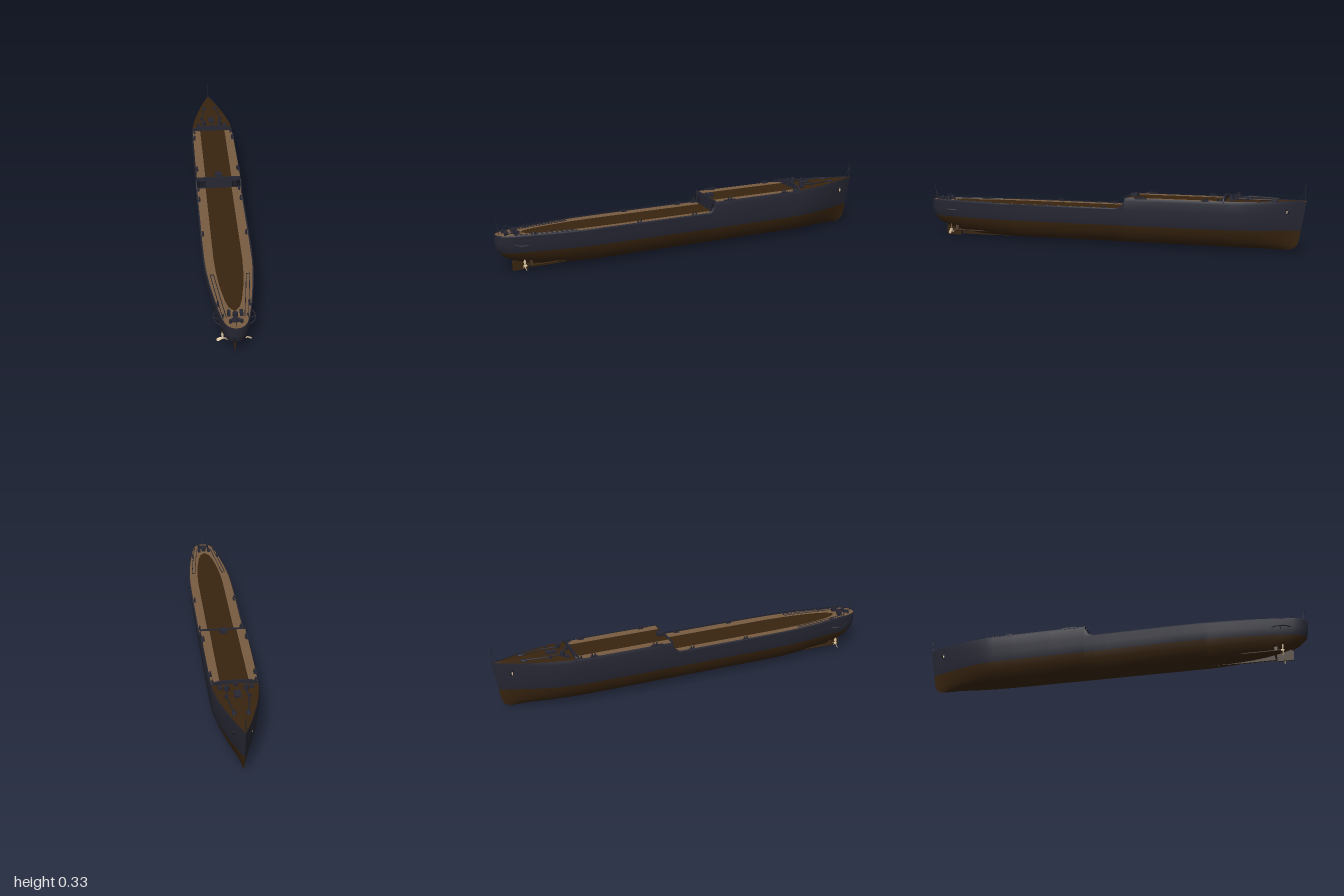
import * as THREE from 'three';

const mat = (name, color) => {
  const m = new THREE.MeshStandardMaterial({ color, side: THREE.DoubleSide });
  m.name = name;
  return m;
};

// Linear lookup in a table of [position, value] pairs
function lookup(table, z) {
  if (z <= table[0][0]) return table[0][1];
  for (let i = 1; i < table.length; i++) {
    const [z0, v0] = table[i - 1], [z1, v1] = table[i];
    if (z <= z1) return v0 + (v1 - v0) * (z - z0) / (z1 - z0);
  }
  return table[table.length - 1][1];
}

// Plan outline of the deck, as a fraction of the greatest beam
const plan = [[-1, 0], [-0.97, 0.12], [-0.93, 0.26], [-0.88, 0.42], [-0.82, 0.59], [-0.76, 0.74], [-0.7, 0.86],
  [-0.65, 0.925], [-0.61, 0.955], [-0.5, 0.98], [-0.3, 0.995], [0, 1], [0.4, 1], [0.52, 0.985], [0.6, 0.95],
  [0.7, 0.86], [0.8, 0.735], [0.88, 0.62], [0.93, 0.53], [0.965, 0.43], [0.985, 0.31], [0.996, 0.17], [1, 0]];
// Top edge of the side, with the curved break of the forecastle
const sheer = [[-1, 0.258], [-0.8, 0.253], [-0.61, 0.251], [-0.115, 0.251], [-0.108, 0.236], [-0.1, 0.218],
  [-0.09, 0.206], [-0.075, 0.199], [-0.06, 0.197], [1, 0.197]];
const centreStrip = [[-0.61, 0.068], [0.5, 0.068], [0.6, 0.064], [0.7, 0.055], [0.8, 0.039], [0.85, 0.025], [0.88, 0]];
const stations = [...new Set([...plan, ...sheer, ...centreStrip].map(p => p[0]))].sort((a, b) => a - b);
// Waterlines: height, half beam, bow end, stern end, fineness of the ends
const lines = [[0.011, 0.004, -0.92, 0.62, 1], [0.018, 0.045, -0.938, 0.72, 1.3], [0.028, 0.066, -0.952, 0.8, 1.3],
  [0.045, 0.085, -0.962, 0.88, 1.25], [0.075, 0.1, -0.968, 0.955, 1.15], [0.11, 0.113, -0.974, 0.992, 1.05],
  [0.15, 0.117, -0.981, 1, 1], [0.19, 0.12, -0.988, 1, 1], [0.235, 0.12, -0.996, 1, 1], [0.27, 0.113, -1, 1, 1]];
const bow = z => lookup(plan, z);

function surface(cols, rows, point) {
  const pos = [], idx = [];
  for (let j = 0; j < cols; j++) for (let i = 0; i < rows; i++) pos.push(...point(j, i));
  for (let j = 0; j < cols - 1; j++) for (let i = 0; i < rows - 1; i++) {
    const a = j * rows + i, b = a + rows;
    idx.push(a, b, a + 1, b, b + 1, a + 1);
  }
  const g = new THREE.BufferGeometry();
  g.setAttribute('position', new THREE.Float32BufferAttribute(pos, 3));
  g.setIndex(idx);
  g.computeVertexNormals();
  return g;
}

export function createModel() {
  const ship = new THREE.Group();
  ship.name = 'ship';
  const navy = mat('navy paint', 0x262733);
  const brown = mat('dark brown', 0x38240f);
  const tan = mat('tan planking', 0x785c41);
  const cream = mat('pale bronze', 0xdcc6a2);
  const black = mat('dark steel', 0x14151d);

  const add = (name, geo, m, x = 0, y = 0, z = 0, rx = 0, ry = 0, rz = 0) => {
    const mesh = new THREE.Mesh(geo, m);
    mesh.name = name;
    mesh.position.set(x, y, z);
    mesh.rotation.set(rx, ry, rz);
    ship.add(mesh);
    return mesh;
  };
  const box = (name, w, h, d, m, x, y, z, rx, ry, rz) => add(name, new THREE.BoxGeometry(w, h, d), m, x, y, z, rx, ry, rz);
  const post = (name, r, h, m, x, y, z, rx, ry, rz) => add(name, new THREE.CylinderGeometry(r, r, h, 10), m, x, y, z, rx, ry, rz);
  const tube = (name, pts, r, m) => add(name, new THREE.TubeGeometry(
    new THREE.CatmullRomCurve3(pts.map(p => new THREE.Vector3(...p))), 20, r, 6), m);

  // Hull, lofted from waterlines; brown below and navy above
  const n = lines.length, rows = stations.length;
  const hull = surface(2 * n, rows, (j, i) => {
    const side = j < n ? -1 : 1;
    const [y, beam, zb, zs, fine] = lines[j < n ? n - 1 - j : j - n];
    const s = stations[i];
    let z = s;
    if (s < -0.5) z = -0.5 + (s + 0.5) * (-zb - 0.5) / 0.5;
    if (s > 0.5) z = 0.5 + (s - 0.5) * (zs - 0.5) / 0.5;
    return [side * beam * Math.pow(bow(s), fine), Math.min(y, lookup(sheer, s)), z];
  });
  const strip = (rows - 1) * 6;
  hull.addGroup(0, (n - 6) * strip, 0);
  hull.addGroup((n - 6) * strip, 11 * strip, 1);
  hull.addGroup((n + 5) * strip, (n - 6) * strip, 0);
  add('hull', hull, [navy, brown]);

  // Decks: brown centre strip with tan planking each side
  const edge = z => 0.114 * bow(z);
  const inner = z => z < -0.61 ? edge(z) : Math.min(lookup(centreStrip, z), edge(z));
  const deck = (name, z0, z1, yIn, yOut, left, right, m) => {
    const zs = stations.filter(z => z >= z0 && z <= z1).reverse();
    add(name, surface(2, zs.length, (j, i) => [j ? right(zs[i]) : left(zs[i]), (j ? yOut : yIn), zs[i]]), m);
  };
  for (const [name, z0, z1, y] of [['mainDeck', -0.115, 1, 0.191], ['forecastleDeck', -0.61, -0.115, 0.248]]) {
    deck(name + 'Centre', z0, z1, y, y, z => -inner(z), inner, brown);
    deck(name + 'PlankingLeft', z0, z1, y, y, inner, edge, tan);
    deck(name + 'PlankingRight', z0, z1, y, y, z => -edge(z), z => -inner(z), tan);
  }
  deck('foredeckLeft', -1, -0.61, 0.257, 0.251, () => 0, edge, brown);
  deck('foredeckRight', -1, -0.61, 0.251, 0.257, z => -edge(z), () => 0, brown);

  // Forecastle bulkhead with doors and ladders
  box('bulkhead', 0.228, 0.06, 0.006, navy, 0, 0.221, -0.113);
  box('bulkheadRail', 0.226, 0.006, 0.008, navy, 0, 0.252, -0.113);
  box('deckHatch', 0.036, 0.016, 0.035, navy, 0, 0.256, -0.135);
  for (const s of [-1, 1]) {
    box('door', 0.045, 0.036, 0.004, black, s * 0.092, 0.217, -0.109);
    for (const dx of [-0.009, 0.009]) box('ladderRail', 0.002, 0.058, 0.003, navy, s * 0.084 + dx, 0.222, -0.105);
    for (let k = 0; k < 6; k++) box('ladderRung', 0.018, 0.002, 0.003, navy, s * 0.084, 0.199 + k * 0.009, -0.105);
  }

  // Breakwater across the forecastle
  const bw = new THREE.Shape([[-0.112, 0.24], [0.112, 0.24], [0.11, 0.253], [0.1, 0.266], [0.05, 0.274],
    [-0.05, 0.274], [-0.1, 0.266], [-0.11, 0.253]].map(p => new THREE.Vector2(...p)));
  add('breakwater', new THREE.ExtrudeGeometry(bw, { depth: 0.006, bevelEnabled: false }), navy, 0, 0, -0.613);
  for (const x of [-0.08, -0.04, 0, 0.04, 0.08]) box('breakwaterBracket', 0.003, 0.013, 0.014, navy, x, 0.257, -0.6);

  // Anchor gear on the foredeck
  box('foredeckHatch', 0.03, 0.012, 0.05, navy, 0, 0.26, -0.705);
  post('centreCapstan', 0.009, 0.02, navy, 0, 0.262, -0.63);
  for (const s of [-1, 1]) {
    post('capstan', 0.013, 0.018, navy, s * 0.045, 0.263, -0.66);
    post('capstanHead', 0.009, 0.012, navy, s * 0.045, 0.272, -0.66);
    tube('anchorChain', [[s * 0.045, 0.26, -0.66], [s * 0.047, 0.26, -0.75], [s * 0.033, 0.259, -0.84]], 0.0035, navy);
    add('chainPipe', new THREE.SphereGeometry(0.011, 10, 6), navy, s * 0.032, 0.256, -0.845).scale.set(1, 0.6, 2);
    box('winch', 0.018, 0.016, 0.02, navy, s * 0.073, 0.258, -0.645);
    post('foredeckBollard', 0.006, 0.016, navy, s * 0.055, 0.26, -0.72);
    add('hawseRing', new THREE.TorusGeometry(0.009, 0.003, 6, 14), black, s * 0.039, 0.203, -0.91, 0, s * 1.2, 0);
    box('anchor', 0.004, 0.016, 0.006, cream, s * 0.04, 0.201, -0.91);
  }

  // Paired bollards and fairleads along the deck edges
  for (const z of [-0.59, -0.52, -0.2, -0.095, 0, 0.3, 0.83]) for (const s of [-1, 1]) {
    const y = z < -0.12 ? 0.248 : 0.191, x = s * (edge(z) - 0.008);
    box('bollardBase', 0.01, 0.004, 0.028, navy, x, y + 0.002, z);
    for (const dz of [-0.008, 0.008]) post('bollard', 0.004, 0.014, navy, x, y + 0.008, z + dz);
  }
  for (const z of [-0.52, -0.21, -0.18]) for (const s of [-1, 1])
    box('sideFairlead', 0.006, 0.008, 0.035, navy, s * edge(z), 0.251, z);

  // Long rails and guards at the stern
  for (const s of [-1, 1]) {
    for (const d of [0, 0.016])
      tube('deckRail', [[s * (0.092 - d), 0.194, 0.62], [s * (0.075 - d), 0.194, 0.77], [s * (0.057 - d), 0.194, 0.92]], 0.0018, navy);
    box('railEnd', 0.018, 0.003, 0.003, navy, s * 0.084, 0.194, 0.62);
    tube('propellerGuard', [[s * 0.084, 0.15, 0.83], [s * 0.094, 0.15, 0.86], [s * 0.088, 0.15, 0.895], [s * 0.066, 0.15, 0.92]], 0.003, navy);
    box('guardBrace', 0.024, 0.004, 0.004, navy, s * 0.08, 0.146, 0.87, 0, 0, s * 0.5);
    tube('davit', [[s * 0.052, 0.19, 0.91], [s * 0.054, 0.213, 0.92], [s * 0.056, 0.208, 0.945]], 0.002, navy);
    post('sternBollard', 0.006, 0.018, navy, s * 0.025, 0.2, 0.955);
    box('sternLocker', 0.014, 0.018, 0.025, navy, s * 0.028, 0.2, 0.9);
  }
  post('sternCapstan', 0.012, 0.02, navy, 0, 0.2, 0.91);
  box('sternWinch', 0.04, 0.012, 0.018, navy, 0, 0.198, 0.945);

  // Flagstaffs with stays
  post('bowStaff', 0.0018, 0.08, navy, 0, 0.295, -0.993);
  tube('bowStay', [[0, 0.256, -0.965], [0, 0.285, -0.98], [0, 0.31, -0.993]], 0.001, navy);
  post('sternStaff', 0.0018, 0.08, navy, 0, 0.23, 0.985, 0.12);
  tube('sternStay', [[0, 0.192, 0.965], [0, 0.215, 0.975], [0, 0.24, 0.987]], 0.001, navy);

  // Skeg and rudder on the centre line
  const fin = (name, pts, w) => add(name, new THREE.ExtrudeGeometry(
    new THREE.Shape(pts.map(p => new THREE.Vector2(...p))), { depth: w, bevelEnabled: false }), brown, w / 2, 0, 0, 0, -Math.PI / 2, 0);
  fin('skeg', [[0.5, 0.011], [0.68, 0.008], [0.83, 0.008], [0.83, 0.04], [0.7, 0.025]], 0.008);
  fin('rudder', [[0.84, 0.001], [0.92, 0.001], [0.923, 0.045], [0.9, 0.064], [0.84, 0.05]], 0.006);

  // Twin shafts, struts and three-bladed propellers
  const bladeShape = new THREE.Shape();
  bladeShape.moveTo(-0.002, 0.003);
  bladeShape.bezierCurveTo(-0.012, 0.014, -0.009, 0.031, 0, 0.032);
  bladeShape.bezierCurveTo(0.008, 0.031, 0.008, 0.014, 0.002, 0.003);
  const bladeGeo = new THREE.ExtrudeGeometry(bladeShape, { depth: 0.002, bevelEnabled: false });
  bladeGeo.rotateY(0.5);
  for (const s of [-1, 1]) {
    post('propellerShaft', 0.004, 0.25, brown, s * 0.053, 0.036, 0.745, Math.PI / 2);
    box('shaftStrut', 0.004, 0.045, 0.016, brown, s * 0.047, 0.055, 0.84, 0, 0, s * 0.3);
    box('innerStrut', 0.05, 0.004, 0.016, brown, s * 0.03, 0.044, 0.84, 0, 0, -s * 0.3);
    post('propellerHub', 0.0055, 0.016, cream, s * 0.053, 0.036, 0.872, Math.PI / 2);
    for (let k = 0; k < 3; k++) add('propellerBlade', bladeGeo, cream, s * 0.053, 0.036, 0.872, 0, 0, k * Math.PI * 2 / 3);
  }
  return ship;
}
